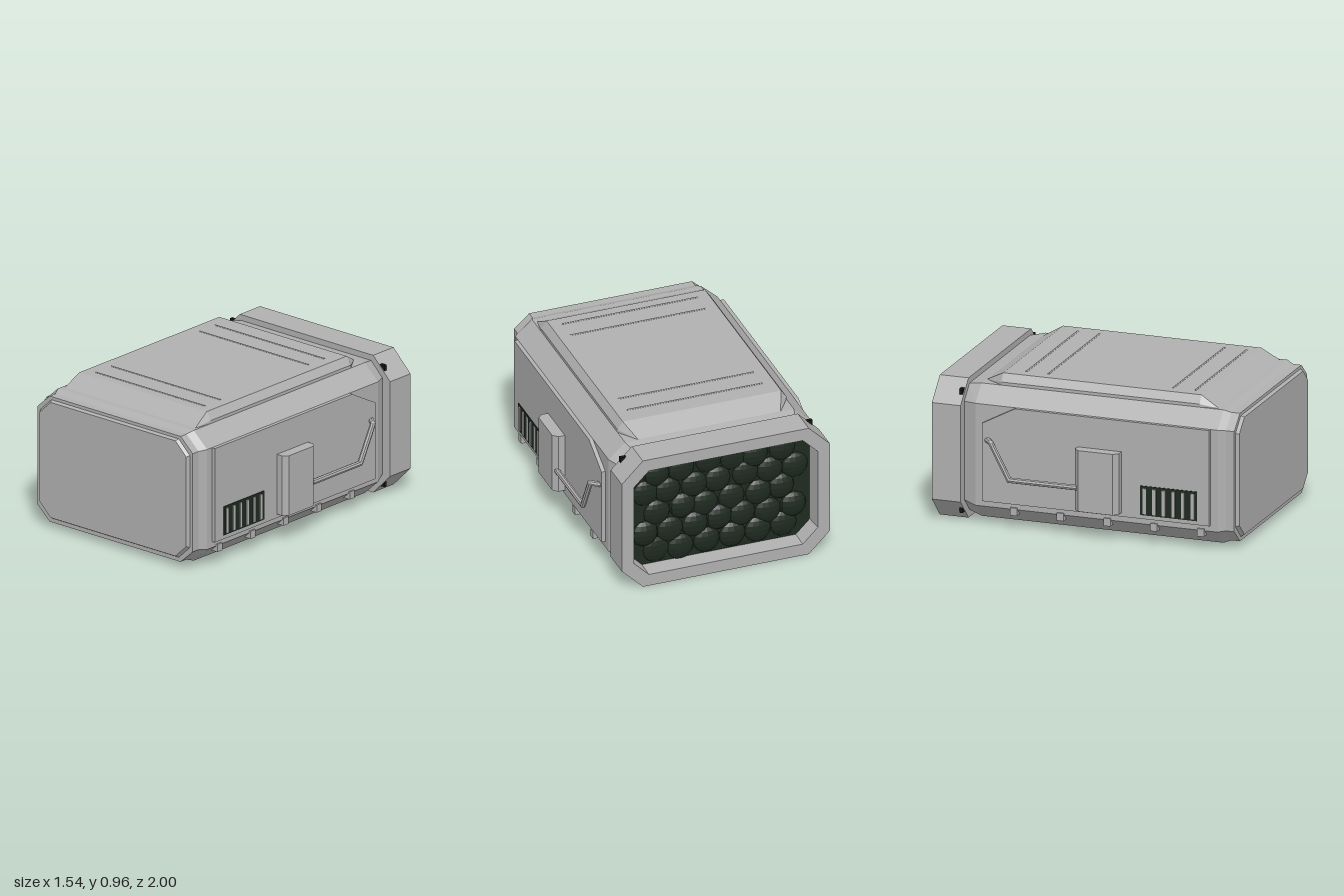
import * as THREE from 'three';
import { ConvexGeometry } from 'three/addons/geometries/ConvexGeometry.js';

const shell = new THREE.MeshStandardMaterial({ color: 0xb0b0b0 });
shell.name = 'grey shell';
shell.flatShading = true;
const dark = new THREE.MeshStandardMaterial({ color: 0x1e2a20 });
dark.name = 'dark green';
dark.flatShading = true;
const black = new THREE.MeshStandardMaterial({ color: 0x141614 });
black.name = 'black clip';

function add(parent, name, geometry, material = shell, x = 0, y = 0, z = 0) {
  const mesh = new THREE.Mesh(geometry, material);
  mesh.name = name;
  mesh.position.set(x, y, z);
  parent.add(mesh);
  return mesh;
}

// Chamfered rectangle, counter-clockwise seen from +z
function octagon([z, hw, y0, y1, cx, cy]) {
  return [
    [hw, y0 + cy], [hw, y1 - cy], [hw - cx, y1], [cx - hw, y1],
    [-hw, y1 - cy], [-hw, y0 + cy], [cx - hw, y0], [hw - cx, y0],
  ].map(([x, y]) => [x, y, z]);
}

// Skin through a list of octagon sections
function loft(sections, caps) {
  const rings = sections.map(octagon);
  const pos = [];
  const tri = (a, b, c) => pos.push(...a, ...b, ...c);
  for (let r = 0; r < rings.length - 1; r++) {
    for (let i = 0; i < 8; i++) {
      const j = (i + 1) % 8, p = rings[r], q = rings[r + 1];
      tri(p[i], p[j], q[j]);
      tri(p[i], q[j], q[i]);
    }
  }
  if (caps) {
    const first = rings[0], last = rings[rings.length - 1];
    for (let i = 1; i < 7; i++) {
      tri(first[0], first[i + 1], first[i]);
      tri(last[0], last[i], last[i + 1]);
    }
  }
  const g = new THREE.BufferGeometry();
  g.setAttribute('position', new THREE.Float32BufferAttribute(pos, 3));
  g.computeVertexNormals();
  return g;
}

function prism(points, depth) {
  const shape = new THREE.Shape(points.map(([x, y]) => new THREE.Vector2(x, y)));
  return new THREE.ExtrudeGeometry(shape, { depth, bevelEnabled: false });
}

function makeSide(s) {
  const side = new THREE.Group();
  side.name = s > 0 ? 'leftSide' : 'rightSide';
  side.scale.x = s;

  // Large raised panel with one cut corner
  const panel = prism([[-0.835, 0.165], [0.665, 0.165], [0.665, 0.67], [0.45, 0.785], [-0.835, 0.785]], 0.035);
  add(side, 'sidePanel', panel.rotateY(Math.PI / 2), shell, 0.66);

  // Handle housing with bevelled ends
  const housing = prism([[0.69, -0.255], [0.738, -0.255], [0.768, -0.225], [0.768, 0.005], [0.738, 0.035], [0.69, 0.035]], 0.395);
  add(side, 'handleHousing', housing.rotateX(-Math.PI / 2), shell, 0, 0.19);

  // Bent handle rail
  const path = [[0.742, 0.335, -0.02], [0.742, 0.335, -0.47], [0.742, 0.562, -0.59], [0.685, 0.562, -0.635]]
    .map((p) => new THREE.Vector3(...p));
  for (let i = 0; i < path.length - 1; i++) {
    const dir = path[i + 1].clone().sub(path[i]);
    const rail = add(side, 'handleRail', new THREE.CylinderGeometry(0.018, 0.018, dir.length(), 8));
    rail.position.copy(path[i]).addScaledVector(dir, 0.5);
    rail.quaternion.setFromUnitVectors(new THREE.Vector3(0, 1, 0), dir.normalize());
    if (i > 0) add(side, 'handleJoint', new THREE.SphereGeometry(0.018, 8, 6), shell, ...path[i].toArray());
  }

  // Vent with upright slats
  add(side, 'vent', new THREE.BoxGeometry(0.008, 0.19, 0.378), dark, 0.695, 0.285, 0.567);
  for (let i = 0; i < 6; i++) {
    add(side, 'ventSlat', new THREE.BoxGeometry(0.012, 0.165, 0.022), shell, 0.701, 0.283, 0.727 - i * 0.0635);
  }

  // Lugs along the lower edge
  for (let i = 0; i < 5; i++) {
    add(side, 'lowerLug', new THREE.BoxGeometry(0.06, 0.05, 0.045), shell, 0.652, 0.113, 0.772 - i * 0.309);
  }

  // Corner clips on the rear frame
  for (const y of [0.838, 0.072]) {
    add(side, 'cornerClip', new THREE.BoxGeometry(0.04, 0.036, 0.022), black, 0.617, y, -0.827);
  }
  return side;
}

export function createModel() {
  const model = new THREE.Group();
  model.name = 'cargoPod';

  // Body with tapered ends and a raised front plate
  add(model, 'body', loft([
    [-0.82, 0.62, 0.05, 0.865, 0.09, 0.09],
    [-0.72, 0.67, 0.025, 0.885, 0.11, 0.1],
    [0.88, 0.67, 0.025, 0.885, 0.11, 0.1],
    [0.925, 0.64, 0.04, 0.868, 0.1, 0.09],
    [0.98, 0.64, 0.04, 0.868, 0.1, 0.09],
    [0.98, 0.617, 0.066, 0.848, 0.092, 0.088],
    [1.0, 0.604, 0.077, 0.838, 0.09, 0.085],
  ], true));

  // Open rear frame
  add(model, 'rearFrame', loft([
    [-0.83, 0.6, 0.085, 0.82, 0.09, 0.09],
    [-1.0, 0.61, 0.08, 0.825, 0.1, 0.1],
    [-1.0, 0.69, 0, 0.905, 0.14, 0.14],
    [-0.81, 0.69, 0, 0.905, 0.14, 0.14],
    [-0.81, 0.55, 0.12, 0.78, 0.1, 0.1],
  ], false));

  // Raised roof with sloped ends
  const roof = [];
  for (const s of [1, -1]) {
    for (const z of [0.72, -0.59]) {
      for (const [x, y] of [[0.56, 0.87], [0.56, 0.905], [0.525, 0.955]]) roof.push(new THREE.Vector3(s * x, y, z));
    }
    roof.push(new THREE.Vector3(s * 0.54, 0.882, 0.845), new THREE.Vector3(s * 0.47, 0.882, -0.72));
    roof.push(new THREE.Vector3(s * 0.54, 0.87, 0.845), new THREE.Vector3(s * 0.47, 0.87, -0.72));
  }
  add(model, 'roof', new ConvexGeometry(roof));

  // Roof ribs
  for (const z of [0.65, 0.505, -0.32, -0.465]) {
    add(model, 'roofRib', new THREE.CylinderGeometry(0.01, 0.01, 0.9, 8).rotateZ(Math.PI / 2), shell, 0, 0.949, z);
  }

  // Lumpy dark filling inside the rear opening
  add(model, 'filling', loft([
    [-0.88, 0.6, 0.085, 0.82, 0.09, 0.09],
    [-0.84, 0.6, 0.085, 0.82, 0.09, 0.09],
  ], true), dark);
  let seed = 7;
  const rand = () => (seed = (seed * 16807) % 2147483647) / 2147483647 - 0.5;
  for (let row = 0; row < 5; row++) {
    const count = row % 2 ? 7 : 6;
    for (let i = 0; i < count; i++) {
      const x = (i - (count - 1) / 2) * 0.165 + rand() * 0.03;
      const y = 0.4525 + (row - 2) * 0.14 + rand() * 0.03;
      const lump = add(model, 'fillingLump', new THREE.SphereGeometry(0.09, 12, 8), dark, x, y, -0.875);
      lump.scale.z = 0.4 + rand() * 0.2;
    }
  }

  model.add(makeSide(1), makeSide(-1));
  return model;
}
